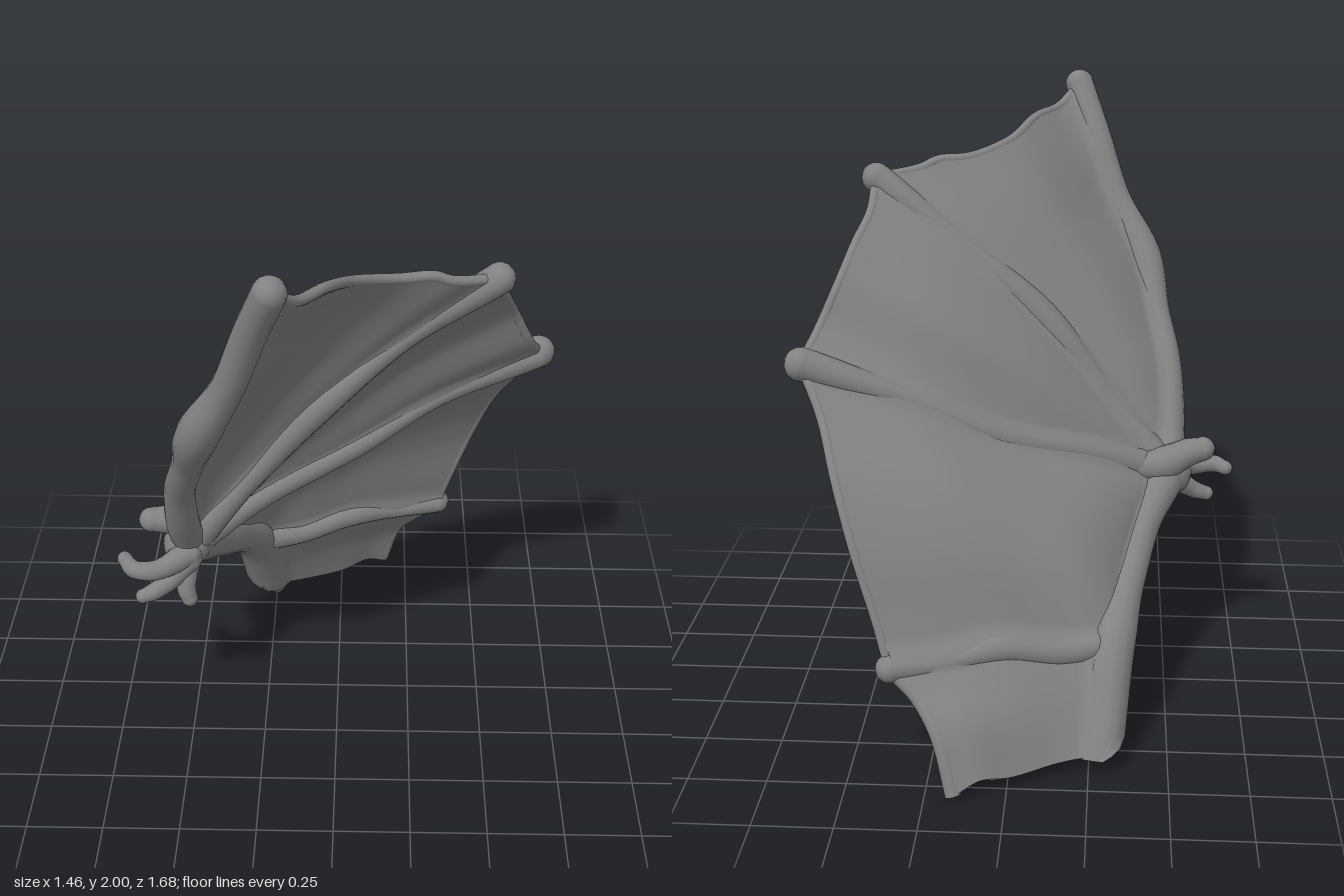
import * as THREE from 'three';
import { mergeVertices } from 'three/addons/utils/BufferGeometryUtils.js';

const material = new THREE.MeshStandardMaterial({ color: 0x828282, side: THREE.DoubleSide });
const NORMAL = new THREE.Vector3(0.45, -0.52, 0.72).normalize(); // front side of the wing plane

const curveOf = pts => new THREE.CatmullRomCurve3(pts.map(p => new THREE.Vector3(...p)), false, 'centripetal');

function addMesh(group, name, geometry) {
  const mesh = new THREE.Mesh(geometry, material);
  mesh.name = name;
  group.add(mesh);
  return mesh;
}

function smooth(geometry) {
  geometry.deleteAttribute('uv');
  geometry.deleteAttribute('normal');
  const merged = mergeVertices(geometry, 1e-5);
  merged.computeVertexNormals();
  return merged;
}

// Tapered rounded limb: one radius per path point, ball at each closed end,
// optionally cut by a floor rule
function limb(group, name, pts, radii, { capStart = true, capEnd = true, floor = () => 0 } = {}) {
  const part = new THREE.Group();
  part.name = name;
  const path = curveOf(pts), seg = (pts.length - 1) * 6, sides = 14;
  path.getUtoTmapping = u => u;
  const geo = new THREE.TubeGeometry(path, seg, 1, sides);
  const pos = geo.attributes.position, v = new THREE.Vector3();
  for (let i = 0; i <= seg; i++) {
    const f = (i / seg) * (radii.length - 1), k = Math.min(Math.floor(f), radii.length - 2);
    const r = THREE.MathUtils.lerp(radii[k], radii[k + 1], THREE.MathUtils.smoothstep(f - k, 0, 1));
    const centre = path.getPoint(i / seg);
    for (let j = 0; j <= sides; j++) {
      const n = i * (sides + 1) + j;
      v.fromBufferAttribute(pos, n).sub(centre).multiplyScalar(r).add(centre);
      pos.setXYZ(n, v.x, Math.max(v.y, floor(v.x)), v.z);
    }
  }
  addMesh(part, name + 'Shaft', smooth(geo));
  const ends = [];
  if (capStart) ends.push([pts[0], radii[0]]);
  if (capEnd) ends.push([pts.at(-1), radii.at(-1)]);
  for (const [p, r] of ends) addMesh(part, name + 'End', new THREE.SphereGeometry(r, 14, 10)).position.set(...p);
  group.add(part);
}

// Soft swelling of the skin over a bone of radius r at distance d
const swell = (d, r) => (r > 0 ? 0.8 * r * Math.exp(-((d / (1.3 * r)) ** 2)) : 0);

// Skin between two rails, its far side following an edge curve; a front and a back layer.
// swells: bone radii along rail A, rail B and the near side; sag: billow towards the back
function skin(group, name, railA, railB, edgePts, { thickness = 0.015, sag = 0, swells }) {
  const a = curveOf(railA), b = curveOf(railB), edge = curveOf(edgePts);
  const nu = 36, nv = 32, p = new THREE.Vector3();
  for (const side of [1, -1]) {
    const geo = new THREE.PlaneGeometry(1, 1, nu, nv);
    const pos = geo.attributes.position;
    for (let i = 0; i < pos.count; i++) {
      const u = pos.getX(i) + 0.5, t = pos.getY(i) + 0.5;
      const pa = a.getPointAt(t), pb = b.getPointAt(t);
      const tip = a.getPointAt(1).lerp(b.getPointAt(1), u);
      const pull = edge.getPointAt(u).sub(tip).multiplyScalar(t * t);
      p.copy(pa).lerp(pb, u).add(pull);
      const gap = pa.distanceTo(pb);
      const half = Math.max(thickness, swell(u * gap, swells[0]), swell((1 - u) * gap, swells[1]),
        swell(t * a.getLength(), swells[2]));
      p.addScaledVector(NORMAL, side * half - sag * Math.sin(Math.PI * u) * Math.sin(Math.PI * t));
      pos.setXYZ(i, p.x, Math.max(p.y, 0), p.z);
    }
    addMesh(group, name + (side > 0 ? 'Front' : 'Back'), smooth(geo));
  }
}

export function createModel() {
  const wing = new THREE.Group();
  wing.name = 'wing';

  // Bone paths, all starting at the wrist except the elbow strut
  const wrist = [-0.49, 0.72, 0.14];
  const leading = [wrist, [-0.5, 0.85, 0.23], [-0.49, 1.05, 0.34], [-0.45, 1.2, 0.44], [-0.4, 1.38, 0.56],
    [-0.3, 1.58, 0.64], [-0.23, 1.78, 0.71], [-0.165, 1.95, 0.79]];
  const middle = [wrist, [-0.3, 0.96, 0.16], [-0.06, 1.26, 0.175], [0.22, 1.51, 0.165], [0.49, 1.72, 0.195]];
  const outer = [wrist, [-0.25, 0.83, 0.01], [0.05, 0.935, -0.135], [0.33, 1.08, -0.225], [0.675, 1.22, -0.29]];
  const strut = [[-0.32, 0.35, -0.42], [-0.15, 0.345, -0.49], [0.03, 0.385, -0.55], [0.2, 0.365, -0.62], [0.365, 0.365, -0.675]];
  const forearm = [wrist, [-0.41, 0.6, -0.05], [-0.36, 0.48, -0.25]];
  const upperArm = [[-0.32, 0.36, -0.41], [-0.3, 0.18, -0.52], [-0.285, 0.02, -0.6]];

  limb(wing, 'leadingFinger', leading, [0.06, 0.055, 0.05, 0.05, 0.066, 0.05, 0.05, 0.05]);
  limb(wing, 'middleFinger', middle, [0.06, 0.042, 0.055, 0.038, 0.05]);
  limb(wing, 'outerFinger', outer, [0.06, 0.048, 0.048, 0.04, 0.055]);
  limb(wing, 'elbowStrut', strut, [0.05, 0.05, 0.052, 0.038, 0.046]);
  limb(wing, 'arm', [...forearm, ...upperArm], [0.075, 0.06, 0.06, 0.075, 0.073, 0.073],
    { capEnd: false, floor: x => 0.03 + 0.7 * Math.max(0, -0.27 - x) });

  // Scalloped outer edges between the bone tips
  const topEdge = [leading.at(-1), [-0.1, 1.885, 0.7], [-0.02, 1.865, 0.57], [0.06, 1.81, 0.41], [0.19, 1.77, 0.31],
    [0.29, 1.765, 0.28], [0.35, 1.74, 0.26], middle.at(-1)];
  const sideEdge = [middle.at(-1), [0.495, 1.63, 0.09], [0.53, 1.55, -0.03], [0.565, 1.46, -0.12], [0.63, 1.31, -0.19], outer.at(-1)];
  const lowerEdge = [outer.at(-1), [0.6, 1.08, -0.385], [0.54, 0.92, -0.515], [0.475, 0.72, -0.6], [0.41, 0.52, -0.64], strut.at(-1)];
  const rootEdge = [strut.at(-1), [0.28, 0.29, -0.705], [0.21, 0.19, -0.765], [0.16, 0.01, -0.815]];
  const bottom = [[-0.285, 0.04, -0.6], [-0.15, 0.035, -0.65], [0, 0.025, -0.73], [0.09, 0.04, -0.78], rootEdge.at(-1)];

  // Membrane panels, billowing back and swelling softly over the bones
  skin(wing, 'topMembrane', leading, middle, topEdge, { sag: 0.03, swells: [0.05, 0.045, 0] });
  skin(wing, 'sideMembrane', middle, outer, sideEdge, { sag: 0.035, swells: [0.045, 0.045, 0] });
  skin(wing, 'lowerMembrane', outer, [...forearm, ...strut], lowerEdge, { sag: 0.05, swells: [0.045, 0.05, 0] });
  skin(wing, 'rootMembrane', strut, bottom, rootEdge, { thickness: 0.026, sag: 0.01, swells: [0.045, 0, 0.085] });

  // Rolled rims closing the two layers
  const rims = { topRim: topEdge, sideRim: sideEdge, lowerRim: lowerEdge, rootRim: rootEdge };
  for (const [name, pts] of Object.entries(rims)) {
    const r = name === 'rootRim' ? 0.026 : 0.017;
    limb(wing, name, pts, pts.map(() => r), { capStart: false, capEnd: false });
  }

  // Hand with short claws
  const hand = addMesh(wing, 'hand', new THREE.SphereGeometry(0.08, 18, 14));
  hand.position.set(-0.5, 0.715, 0.15);
  const claws = {
    longClaw: [[[-0.49, 0.71, 0.2], [-0.59, 0.695, 0.28], [-0.66, 0.7, 0.285], [-0.7, 0.705, 0.23]], [0.045, 0.034, 0.03, 0.025]],
    frontClaw: [[[-0.49, 0.69, 0.2], [-0.55, 0.64, 0.25], [-0.6, 0.605, 0.27], [-0.64, 0.59, 0.28]], [0.045, 0.036, 0.03, 0.025]],
    lowerClaw: [[[-0.49, 0.69, 0.17], [-0.5, 0.63, 0.22], [-0.5, 0.59, 0.235], [-0.49, 0.555, 0.24]], [0.045, 0.036, 0.032, 0.028]],
    thumb: [[[-0.38, 0.76, 0.07], [-0.48, 0.765, 0.1], [-0.56, 0.795, 0.13], [-0.615, 0.805, 0.145]], [0.045, 0.06, 0.048, 0.042]],
  };
  for (const [name, [pts, radii]] of Object.entries(claws)) limb(wing, name, pts, radii);

  return wing;
}
